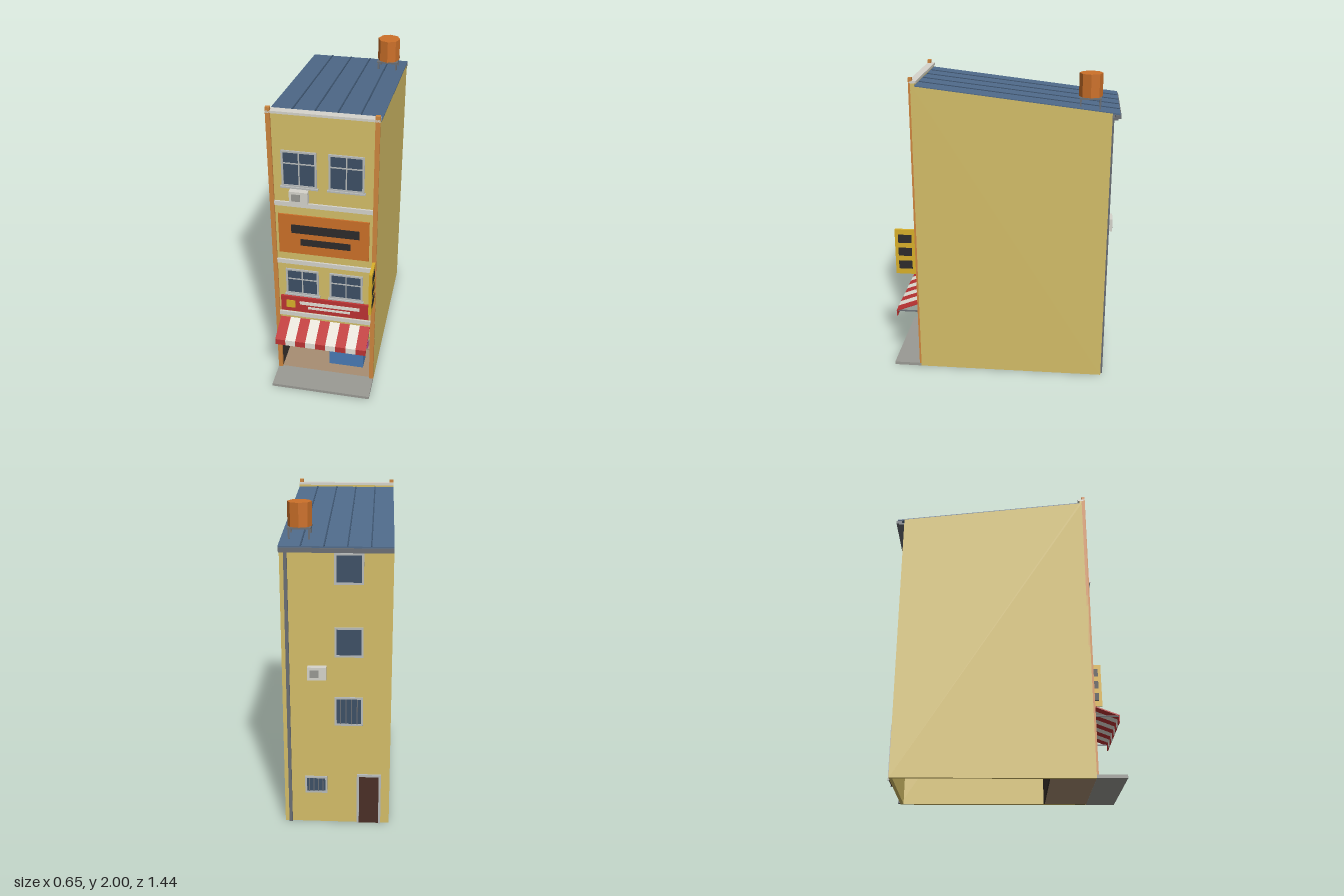
import * as THREE from 'three';

const C = {
  wall: 0xd4be68, roof: 0x4f6a8a, seam: 0x3c536e, pale: 0xd6d4cc, grey: 0x9a9a94, metal: 0x6a6e74,
  frame: 0xb9bcbb, glass: 0x3d5066, pilaster: 0xcf873f, orange: 0xcc7029, dark: 0x2d2b2b, shop: 0x3a332e,
  tan: 0xa88e72, red: 0xbe3434, white: 0xe6e2d8, yellow: 0xd9b02a, door: 0x4a2f26, blue: 0x4a7ab5,
  green: 0x5a9a58, coral: 0xd05a4a, purple: 0xa8478a,
};
const mats = {};
const mat = (c) => (mats[c] ??= new THREE.MeshStandardMaterial({ color: C[c], flatShading: true }));

export function createModel() {
  const model = new THREE.Group();
  let target = model;

  const add = (name, color, geo) => {
    const m = new THREE.Mesh(geo, mat(color));
    m.name = name;
    target.add(m);
    return m;
  };
  // Box given by its limits on each axis
  const box = (name, color, x0, x1, y0, y1, z0, z1) =>
    add(name, color, new THREE.BoxGeometry(Math.abs(x1 - x0), Math.abs(y1 - y0), Math.abs(z1 - z0))
      .translate((x0 + x1) / 2, (y0 + y1) / 2, (z0 + z1) / 2));
  // Profile of [z, y] points swept between x0 and x1
  const sweepX = (name, color, pts, x0, x1) => {
    const shape = new THREE.Shape(pts.map(([z, y]) => new THREE.Vector2(z, y)));
    const geo = new THREE.ExtrudeGeometry(shape, { depth: x1 - x0, bevelEnabled: false });
    return add(name, color, geo.rotateY(-Math.PI / 2).translate(x1, 0, 0));
  };
  const group = (name, build) => {
    const g = new THREE.Group();
    g.name = name;
    model.add(g);
    target = g;
    build();
    target = model;
  };

  const W = 0.325, F = 0.54, B = -0.67;
  const roofY = (z) => 1.917 - 0.1157 * (0.515 - z);

  // Hollow shell, open underneath
  group('body', () => {
    const side = [[B, 0], [F, 0], [F, 1.935], [0.515, 1.935], [0.515, roofY(0.515)], [B, roofY(B)]];
    sweepX('leftWall', 'wall', side, W - 0.02, W);
    sweepX('rightWall', 'wall', side, -W, -W + 0.02);
    box('frontWall', 'wall', -0.305, 0.305, 0.37, 1.935, 0.515, F);
    box('rearWall', 'wall', -0.305, 0.305, 0, 1.775, B, B + 0.02);
    box('coping', 'pale', -W, W, 1.935, 1.95, 0.505, 0.552);
    for (const y of [0.485, 0.905, 1.33]) box('floorBand', 'pale', -0.3, 0.3, y, y + 0.03, F, 0.551);
    for (const s of [-1, 1]) box('pilaster', 'pilaster', s * 0.298, s * W, 0.02, 1.97, 0.53, 0.552);
  });

  // Sloping metal roof with standing seams
  group('roof', () => {
    const strip = (z0, z1, lo, hi) =>
      [[z0, roofY(z0) + lo], [z1, roofY(z1) + lo], [z1, roofY(z1) + hi], [z0, roofY(z0) + hi]];
    sweepX('roofSheet', 'roof', strip(-0.715, 0.515, -0.004, 0.005), -W, W);
    for (const x of [-0.198, -0.066, 0.066, 0.198])
      sweepX('roofSeam', 'seam', strip(-0.715, 0.51, 0.004, 0.009), x - 0.004, x + 0.004);
    box('gutter', 'metal', -W, W, 1.75, 1.77, -0.722, -0.685);
    box('gutterBracket', 'metal', -W, W, 1.74, 1.755, -0.705, B);
    box('downpipe', 'metal', 0.28, 0.3, 0, 1.75, -0.682, B);
  });

  // Water tank on a stand
  group('waterTank', () => {
    const x = 0.217, z = -0.538;
    add('tank', 'orange', new THREE.CylinderGeometry(0.071, 0.071, 0.14, 8).translate(x, 1.93, z));
    box('tankPlatform', 'metal', x - 0.068, x + 0.068, 1.85, 1.86, z - 0.066, z + 0.066);
    for (const dx of [-0.058, 0.058]) for (const dz of [-0.058, 0.058])
      box('tankLeg', 'metal', x + dx - 0.005, x + dx + 0.005, roofY(z + dz), 1.85, z + dz - 0.005, z + dz + 0.005);
  });

  // Windows: d is the facing direction along z
  const windowAt = (x0, x1, y0, y1, z, d, { transom = 0, bars = 0, sill = true } = {}) => group('window', () => {
    const t = 0.012;
    box('glass', 'glass', x0 + t, x1 - t, y0 + t, y1 - t, z, z + d * 0.004);
    for (const [a, b] of [[x0, x0 + t], [x1 - t, x1]]) box('windowJamb', 'frame', a, b, y0, y1, z, z + d * 0.009);
    for (const [a, b] of [[y0, y0 + t], [y1 - t, y1]]) box('windowRail', 'frame', x0 + t, x1 - t, a, b, z, z + d * 0.009);
    if (transom) {
      const c = (x0 + x1) / 2;
      box('mullion', 'frame', c - 0.004, c + 0.004, y0 + t, y1 - t, z, z + d * 0.007);
      box('transom', 'frame', x0 + t, x1 - t, transom - 0.004, transom + 0.004, z, z + d * 0.007);
    }
    for (let i = 1; i <= bars; i++) {
      const x = x0 + (x1 - x0) * i / (bars + 1);
      box('windowBar', 'metal', x - 0.003, x + 0.003, y0 + t, y1 - t, z, z + d * 0.01);
    }
    if (sill) box('sill', 'frame', x0 - 0.008, x1 + 0.008, y0 - 0.008, y0 + 0.002, z, z + d * 0.018);
  });
  for (const x of [-0.247, 0.033]) {
    windowAt(x, x + 0.21, 1.468, 1.705, F, 1, { transom: 1.622 });
    windowAt(x, x + 0.21, 0.668, 0.862, F, 1, { transom: 0.786 });
  }
  for (const y of [1.55, 1.11]) windowAt(-0.157, 0.012, y, y + 0.183, B, -1, { sill: false });
  windowAt(-0.157, 0.012, 0.67, 0.855, B, -1, { bars: 4, sill: false });
  windowAt(0.06, 0.197, 0.207, 0.32, B, -1, { bars: 4, sill: false });

  // Rear door
  group('rearDoor', () => {
    box('doorLeaf', 'door', -0.258, -0.137, 0, 0.325, B, B - 0.005);
    for (const x of [-0.272, -0.137]) box('doorJamb', 'frame', x, x + 0.014, 0, 0.325, B, B - 0.011);
    box('doorHead', 'frame', -0.272, -0.123, 0.325, 0.34, B, B - 0.011);
  });

  // Air conditioners, front and rear
  const airConditioner = (x0, y0, z, d) => group('airConditioner', () => {
    box('casing', 'pale', x0, x0 + 0.112, y0, y0 + 0.08, z, z + d * 0.037);
    const g = d > 0 ? x0 + 0.015 : x0 + 0.045;
    box('grille', 'grey', g, g + 0.052, y0 + 0.016, y0 + 0.064, z + d * 0.036, z + d * 0.039);
  });
  airConditioner(-0.2, 1.37, F, 1);
  airConditioner(0.06, 0.973, B, -1);

  // Sign boards with plain bars
  group('upperSign', () => {
    box('signPanel', 'orange', -0.28, 0.278, 0.99, 1.27, F, 0.549);
    box('signBar', 'dark', -0.2, 0.22, 1.142, 1.202, 0.549, 0.552);
    box('signBar', 'dark', -0.145, 0.165, 1.055, 1.102, 0.549, 0.552);
  });
  group('shopSign', () => {
    box('signPanel', 'red', -0.285, 0.285, 0.528, 0.645, F, 0.553);
    box('signSquare', 'yellow', -0.25, -0.192, 0.558, 0.616, 0.553, 0.556);
    box('signBar', 'white', -0.162, 0.226, 0.59, 0.615, 0.553, 0.556);
    box('signBar', 'white', -0.108, 0.166, 0.559, 0.576, 0.553, 0.556);
  });
  group('bladeSign', () => {
    box('bladePanel', 'yellow', 0.302, 0.32, 0.683, 0.99, 0.552, 0.682);
    for (const y of [0.72, 0.81, 0.9]) box('bladeSquare', 'dark', 0.3, 0.322, y, y + 0.056, 0.573, 0.661);
  });

  // Striped awning with valance and arms
  group('awning', () => {
    const n = 9, w = 0.59 / n;
    const profile = [[F, 0.462], [F, 0.455], [0.695, 0.394], [0.695, 0.358], [0.701, 0.358], [0.701, 0.4]];
    for (let i = 0; i < n; i++)
      sweepX('awningStripe', i % 2 ? 'white' : 'red', profile, -0.295 + i * w, -0.295 + (i + 1) * w);
    for (const s of [-1, 1]) box('awningArm', 'metal', s * 0.282, s * 0.29, 0.39, 0.398, F, 0.695);
  });

  // Shop recess and its stock
  group('shop', () => {
    box('shopRearWall', 'shop', -0.305, 0.305, 0, 0.37, 0.262, 0.27);
    for (const s of [-1, 1]) box('shopSideWall', 'shop', s * 0.298, s * 0.305, 0, 0.37, 0.27, 0.535);
    box('shopCeiling', 'shop', -0.305, 0.305, 0.365, 0.372, 0.27, 0.535);
    box('shopFloor', 'tan', -0.305, 0.305, 0.001, 0.02, 0.27, F);
    box('shelfBack', 'tan', -0.275, 0.267, 0.02, 0.33, 0.27, 0.28);
    const rows = [
      [0.06, [-0.26, -0.15, 'green'], [-0.14, -0.01, 'yellow'], [0, 0.12, 'coral'], [0.13, 0.25, 'purple']],
      [0.15, [-0.26, -0.125, 'coral'], [-0.115, 0.045, 'purple'], [0.055, 0.258, 'yellow']],
      [0.242, [-0.26, -0.15, 'purple'], [-0.14, 0.025, 'white'], [0.035, 0.185, 'coral'], [0.195, 0.258, 'green']],
    ];
    for (const [y, ...goods] of rows) {
      box('shelf', 'tan', -0.275, 0.267, y - 0.01, y, 0.28, 0.315);
      for (const [a, b, c] of goods) box('goods', c, a, b, y, y + 0.058, 0.28, 0.31);
    }
    box('counter', 'blue', 0.01, 0.242, 0.02, 0.165, 0.36, 0.46);
    box('hangingRail', 'metal', -0.298, 0.298, 0.352, 0.358, 0.507, 0.513);
    ['yellow', 'purple', 'green', 'coral', 'orange', 'blue', 'green', 'orange', 'yellow'].forEach((c, i) => {
      const x = -0.26 + i * 0.029;
      box('hangingGoods', c, x - 0.008, x + 0.008, [0.25, 0.285, 0.255, 0.28][i % 4], 0.354, 0.5, 0.52);
    });
  });

  box('pavement', 'grey', -W, W, 0, 0.02, F, 0.722);
  return model;
}
